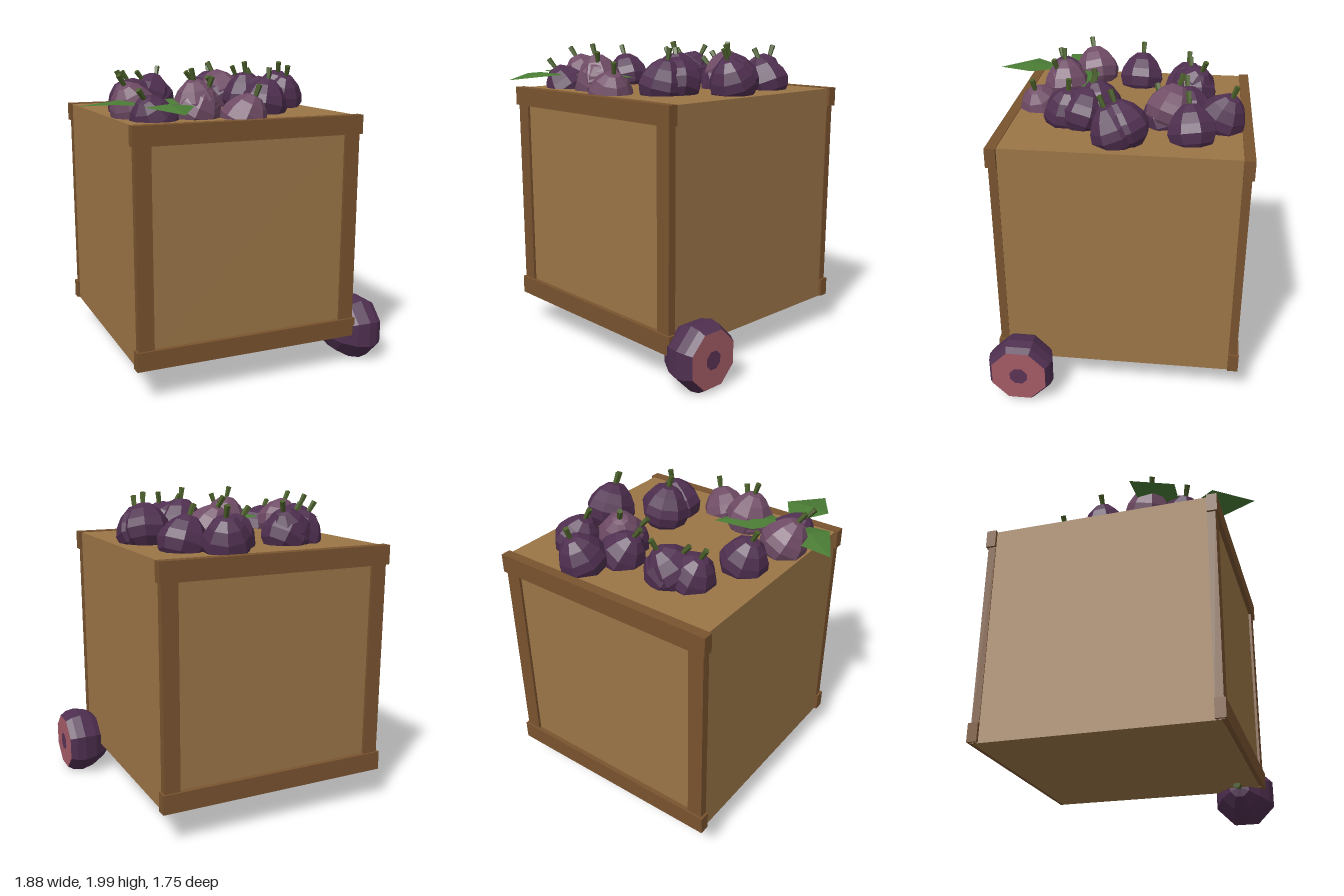
import * as THREE from 'three';

const mat = (color, extra = {}) =>
  new THREE.MeshStandardMaterial({ color, flatShading: true, ...extra });
const wood = mat(0x9b7547), trim = mat(0x79532f);
const darkSkin = mat(0x4f2f50), lightSkin = mat(0x6f4b65);
const stemGreen = mat(0x4a5e2a), leafGreen = mat(0x4a7c35, { side: THREE.DoubleSide });
const flesh = mat(0xa45b66), core = mat(0x5a3355);

const add = (parent, name, geometry, material) => {
  const mesh = new THREE.Mesh(geometry, material);
  mesh.name = name;
  parent.add(mesh);
  return mesh;
};

// Box given by its minimum and maximum corners
function box(parent, name, a, b, material) {
  const mesh = add(parent, name, new THREE.BoxGeometry(b[0] - a[0], b[1] - a[1], b[2] - a[2]), material);
  mesh.position.set((a[0] + b[0]) / 2, (a[1] + b[1]) / 2, (a[2] + b[2]) / 2);
}

const lathe = (points) =>
  new THREE.LatheGeometry(points.map(([r, y]) => new THREE.Vector2(r, y)), 8, Math.PI / 8);

// Upper half of the fruit, widest at y = 0, shared by whole and cut fruit
const upper = [[0.22, 0], [0.2, 0.08], [0.145, 0.17], [0.07, 0.235], [0, 0.245]];
const wholeShape = lathe([[0, -0.19], [0.11, -0.165], [0.19, -0.09], ...upper]);
const cutShape = lathe([[0.185, -0.1], [0.21, -0.06], ...upper]);
const stemShape = new THREE.CylinderGeometry(0.027, 0.02, 0.13, 5);

function fruit(name, shape, skin) {
  const g = new THREE.Group();
  g.name = name;
  add(g, 'fruitBody', shape, skin);
  const stem = add(g, 'fruitStem', stemShape, stemGreen);
  stem.position.y = 0.28;
  stem.rotation.z = 0.12;
  return g;
}

// Kite leaf pointing along +z, creased down the middle and drooping at the tip
function leafGeometry() {
  const g = new THREE.BufferGeometry();
  g.setAttribute('position', new THREE.Float32BufferAttribute([
    0, -0.01, 0, 0.15, 0.005, 0.23, 0, 0.02, 0.23, -0.15, 0.005, 0.23, 0, -0.02, 0.475], 3));
  g.setIndex([0, 2, 1, 0, 3, 2, 1, 2, 4, 2, 3, 4]);
  g.computeVertexNormals();
  return g;
}

// x, z, top height, stem lean in x, stem lean in z, pale skin
const fruits = [
  [0.24, -0.68, 1.91, 0.04, -0.08, 0], [0.44, -0.51, 1.90, -0.08, 0.03, 0],
  [0.11, -0.48, 1.89, -0.12, 0.02, 0], [0.21, -0.36, 1.94, -0.06, -0.08, 1],
  [0.20, -0.34, 1.87, -0.12, 0.06, 0], [-0.28, -0.49, 1.92, 0.09, -0.08, 0],
  [-0.38, -0.45, 1.89, -0.10, -0.01, 0], [-0.25, -0.50, 1.90, -0.12, 0.03, 0],
  [-0.53, -0.13, 1.90, -0.08, -0.01, 0], [-0.61, 0.19, 1.91, -0.10, 0.05, 1],
  [-0.55, 0.39, 1.85, -0.11, 0.07, 0], [-0.26, 0.35, 1.92, -0.04, 0.02, 1],
  [-0.27, 0.36, 1.89, 0.08, 0.06, 1], [-0.005, 0.47, 1.84, 0.09, 0.04, 1],
  [0.20, 0.07, 1.94, -0.02, 0.03, 0], [0.28, 0.16, 1.92, -0.08, -0.06, 0],
  [0.24, 0.26, 1.91, 0.05, -0.02, 0], [0.515, -0.12, 1.94, -0.01, 0.08, 0],
  [0.535, -0.07, 1.92, 0.01, 0.09, 0],
];

export function createModel() {
  const model = new THREE.Group();
  const up = new THREE.Vector3(0, 1, 0);

  // Crate body
  const crate = new THREE.Group();
  crate.name = 'crate';
  model.add(crate);
  box(crate, 'crateBody', [-0.755, 0.23, -0.845], [0.715, 1.695, 0.635], wood);

  // Frames on the front and the back: two posts and two rails each
  for (const [inner, outer, post] of [[0.6, 0.665, 0.652], [-0.81, -0.875, -0.862]]) {
    const zr = [Math.min(inner, outer), Math.max(inner, outer)];
    const zp = [Math.min(inner, post), Math.max(inner, post)];
    for (const x of [-0.76, 0.62])
      box(crate, 'cornerPost', [x, 0.231, zp[0]], [x + 0.1, 1.694, zp[1]], trim);
    for (const y of [0.235, 1.58])
      box(crate, 'rail', [-0.775, y, zr[0]], [0.735, y + 0.12, zr[1]], trim);
  }

  // Whole fruit heaped on the lid
  for (const [x, z, top, dx, dz, pale] of fruits) {
    const f = fruit('fruit', wholeShape, pale ? lightSkin : darkSkin);
    f.scale.setScalar(0.7);
    f.position.set(x, top - 0.165, z);
    const axis = new THREE.Vector3(dx, Math.sqrt(0.053 - dx * dx - dz * dz), dz).normalize();
    f.quaternion.setFromUnitVectors(up, axis);
    model.add(f);
  }

  // Three leaves spreading from one point
  const leafShape = leafGeometry();
  for (let i = 0; i < 3; i++) {
    const leaf = add(model, 'leaf', leafShape, leafGreen);
    leaf.position.set(-0.535, 1.79, 0.395);
    leaf.rotation.y = i * Math.PI * 2 / 3;
  }

  // Cut fruit at the lower corner, its open face towards +x
  const half = fruit('cutFruit', cutShape, darkSkin);
  for (const [name, r, y, m] of [['cutFace', 0.185, -0.1, flesh], ['cutCore', 0.06, -0.103, core]]) {
    const disc = add(half, name, new THREE.CircleGeometry(r, 8, Math.PI / 8), m);
    disc.rotation.x = Math.PI / 2;
    disc.position.y = y;
  }
  half.rotation.z = Math.PI / 2;
  half.position.set(0.835, 0.23, 0.5);
  model.add(half);

  return model;
}
